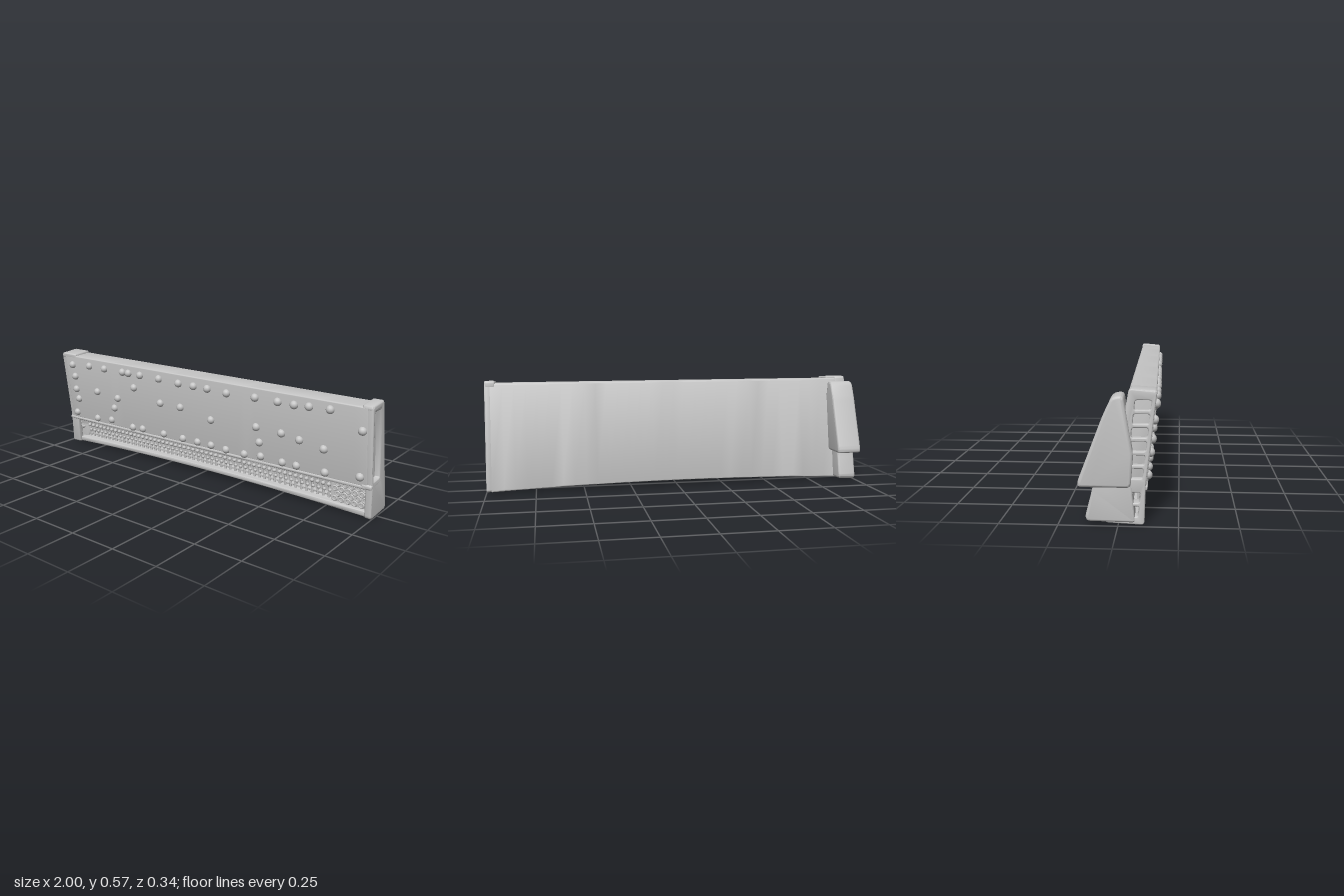
import * as THREE from 'three';
import { mergeGeometries, toCreasedNormals } from 'three/addons/utils/BufferGeometryUtils.js';

const plaster = new THREE.MeshStandardMaterial({ color: 0xc4c4c4 });
plaster.name = 'light grey';

// Height-dependent front plane and back plane of the leaning slab
const frontZ = y => 0.093 + (y - 0.17) * 0.113;
const backZ = y => -0.08 + y * 0.18;

// The whole piece is slightly skewed along its length and arched underneath
function warp(geo) {
  const p = geo.attributes.position;
  for (let i = 0; i < p.count; i++) {
    const x = p.getX(i), y = p.getY(i);
    p.setZ(i, p.getZ(i) - 0.022 * x);
    p.setY(i, y + 0.025 * Math.max(0, 1 - x * x) * Math.max(0, 1 - y / 0.15));
  }
  geo.computeVertexNormals();
  return geo;
}

// Closed path through [z, y] points with rounded corners
function roundPath(path, pts, r) {
  const v = pts.map(([z, y]) => new THREE.Vector2(-z, y));
  v.forEach((c, i) => {
    const a = v[(i + v.length - 1) % v.length], b = v[(i + 1) % v.length];
    const toward = q => c.clone().add(q.clone().sub(c).setLength(Math.min(r, c.distanceTo(q) * 0.45)));
    const s = toward(a), e = toward(b);
    if (i === 0) path.moveTo(s.x, s.y); else path.lineTo(s.x, s.y);
    path.quadraticCurveTo(c.x, c.y, e.x, e.y);
  });
  path.closePath();
  return path;
}

// Section in z and y, extruded along x with softened ends
function prism(pts, x0, x1, { r = 0.014, b = 0.008, steps = 1, holes = [] } = {}) {
  const shape = roundPath(new THREE.Shape(), pts, r);
  holes.forEach(h => shape.holes.push(roundPath(new THREE.Path(), h, 0.01)));
  const geo = new THREE.ExtrudeGeometry(shape, {
    depth: x1 - x0 - 2 * b, steps, curveSegments: 5,
    bevelThickness: b, bevelSize: b, bevelOffset: -b, bevelSegments: 3,
  });
  geo.rotateY(Math.PI / 2).translate(x0 + b, 0, 0);
  return toCreasedNormals(warp(geo), 0.7);
}

export function createModel() {
  const group = new THREE.Group();
  const add = (name, geo) => {
    const mesh = new THREE.Mesh(geo, plaster);
    mesh.name = name;
    group.add(mesh);
  };

  // Slab with a long groove below the front panel
  add('slab', prism([
    [frontZ(0.56), 0.555], [0.096, 0.165], [0.086, 0.148], [0.042, 0.145], [0.036, 0.035],
    [0.076, 0.032], [0.074, 0.002], [backZ(0.008), 0.008], [backZ(0.56), 0.56],
  ], -0.955, 0.975, { r: 0.01, b: 0.004, steps: 32 }));

  // Recessed panel cap at the left end
  const capOutline = [
    [frontZ(0.56), 0.562], [0.092, 0.17], [0.087, 0], [backZ(0) + 0.002, 0.008], [backZ(0.57), 0.572],
  ];
  add('leftEndCap', prism(capOutline, 0.965, 1, {
    r: 0.02,
    holes: [
      [[0.112, 0.535], [0.05, 0.54], [0.018, 0.195], [0.088, 0.19]],
      [[0.078, 0.143], [-0.028, 0.153], [-0.046, 0.042], [0.075, 0.032]],
    ],
  }));
  add('leftEndRail', prism(
    [[0.1, 0.177], [0.1, 0.152], [-0.03, 0.165], [-0.027, 0.188]], 0.945, 1, { r: 0.01 }));
  add('leftTopCorner', prism(
    [[frontZ(0.56), 0.563], [frontZ(0.53), 0.53], [backZ(0.53), 0.53], [backZ(0.57) - 0.002, 0.573]],
    0.945, 0.998, { r: 0.015 }));

  // Ladder-like cap at the right end
  const cells = [];
  const cell = (y0, y1) => cells.push([
    [frontZ(y1) - 0.018, y1], [frontZ(y1) - 0.085, y1], [frontZ(y0) - 0.085, y0], [frontZ(y0) - 0.018, y0],
  ]);
  for (let i = 0; i < 6; i++) cell(0.2 + i * 0.057, 0.241 + i * 0.057);
  for (let i = 0; i < 2; i++) cell(0.035 + i * 0.06, 0.08 + i * 0.06);
  add('rightEndCap', prism(capOutline, -0.98, -0.922, { r: 0.015, b: 0.005, holes: cells }));
  add('rightTopCorner', prism(
    [[frontZ(0.56) + 0.002, 0.565], [frontZ(0.53), 0.53], [0.03, 0.53], [0.026, 0.572]],
    -0.977, -0.87, { r: 0.012 }));

  // Wedge bracket and its foot behind the right end
  add('bracketWedge', prism([
    [0.0, 0.548], [-0.047, 0.54], [-0.085, 0.46], [-0.19, 0.185], [-0.188, 0.163],
    [-0.13, 0.163], [0.03, 0.163], [0.04, 0.3],
  ], -1, -0.87, { r: 0.02, b: 0.012 }));
  add('bracketFoot', prism([
    [0.03, 0.2], [-0.12, 0.2], [-0.13, 0.15], [-0.16, 0.03], [-0.15, 0.013], [0.05, 0.01],
  ], -0.985, -0.89, { r: 0.015, b: 0.01 }));

  // Thin ledge above the groove
  add('ledge', prism(
    [[0.1, 0.168], [0.1, 0.152], [0.07, 0.148], [0.07, 0.168]], -0.978, 0.97, { r: 0.006, b: 0.003, steps: 24 }));

  // Row of knobbed pegs inside the groove
  const pegs = [];
  for (let i = 0; i < 54; i++) {
    const x = -0.855 + i * 0.0306;
    pegs.push(new THREE.CylinderGeometry(0.006, 0.007, 0.1, 7).translate(x, 0.095, 0.057));
    pegs.push(new THREE.SphereGeometry(0.011, 8, 6).translate(x, 0.118, 0.064));
    pegs.push(new THREE.SphereGeometry(0.009, 8, 6).translate(x + 0.006, 0.086, 0.06));
  }
  add('groovePegs', warp(mergeGeometries(pegs)));
  add('grooveRail', prism(
    [[0.06, 0.068], [0.06, 0.056], [0.03, 0.056], [0.03, 0.068]], -0.87, 0.78, { r: 0.004, b: 0.002, steps: 24 }));

  // Cluster of small rings at the left end of the groove
  const rings = [];
  for (let row = 0; row < 4; row++) {
    for (let col = 0; col < 5; col++) {
      rings.push(new THREE.TorusGeometry(0.012, 0.0045, 6, 10)
        .translate(0.8 + col * 0.035 + (row % 2) * 0.016, 0.052 + row * 0.027, 0.064));
    }
  }
  rings.push(new THREE.BoxGeometry(0.19, 0.11, 0.03).translate(0.875, 0.092, 0.047));
  add('grooveRings', warp(mergeGeometries(rings)));

  // Rounded studs scattered over the front panel
  const studs = [
    [-0.9, 0.5], [-0.76, 0.51], [-0.64, 0.51], [-0.5, 0.51], [-0.455, 0.51], [-0.37, 0.51], [-0.235, 0.51],
    [-0.1, 0.505], [0, 0.505], [0.09, 0.505], [0.21, 0.5], [0.38, 0.505], [0.51, 0.505], [0.6, 0.505],
    [0.68, 0.51], [0.79, 0.515], [0.95, 0.44], [0.94, 0.21],
    [-0.89, 0.43], [-0.895, 0.35], [-0.885, 0.29], [-0.915, 0.2], [-0.72, 0.36], [-0.56, 0.345],
    [-0.595, 0.28], [-0.63, 0.2], [-0.745, 0.19], [-0.425, 0.43], [-0.24, 0.37], [-0.1, 0.37],
    [0.1, 0.335], [0.38, 0.35], [0.395, 0.27], [0.525, 0.345], [0.625, 0.33], [0.755, 0.31],
    [-0.465, 0.185], [-0.39, 0.19], [-0.235, 0.19], [-0.1, 0.19], [0, 0.19], [0.09, 0.19],
    [0.185, 0.185], [0.3, 0.185], [0.4, 0.195], [0.525, 0.19], [0.605, 0.19], [0.76, 0.19],
  ];
  add('frontStuds', warp(mergeGeometries(studs.map(([x, y]) =>
    new THREE.SphereGeometry(0.021, 14, 10).translate(x, y, frontZ(y) + 0.002)))));

  return group;
}
